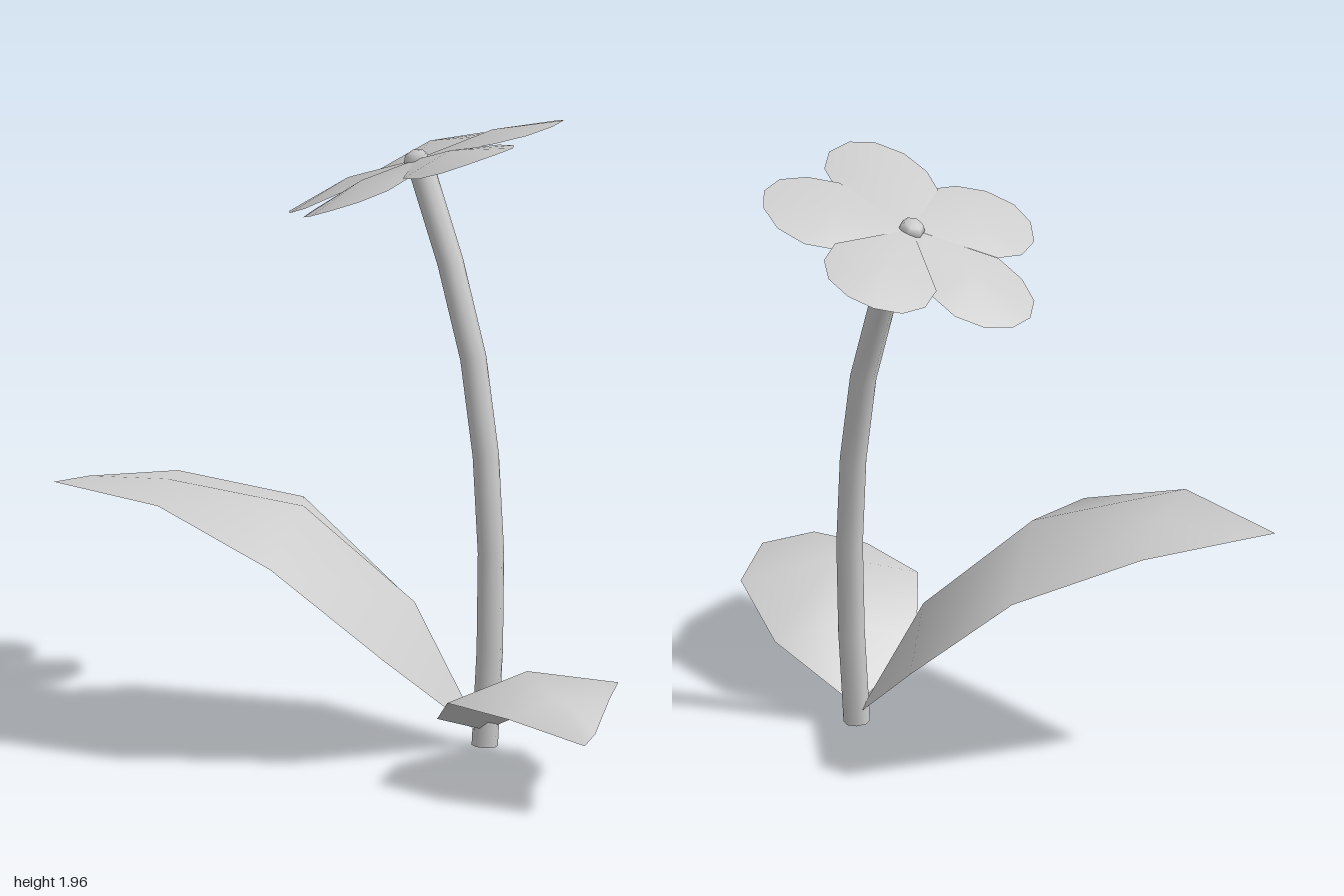
import * as THREE from 'three';

const material = new THREE.MeshStandardMaterial({ color: 0xcccccc, side: THREE.DoubleSide });

function surface(name, positions, index) {
  const geometry = new THREE.BufferGeometry();
  geometry.setAttribute('position', new THREE.Float32BufferAttribute(positions, 3));
  geometry.setIndex(index);
  geometry.computeVertexNormals();
  const mesh = new THREE.Mesh(geometry, material);
  mesh.name = name;
  return mesh;
}

// Leaf from base to a blunt tip, each rib given as [front edge, midrib, back edge]
function makeLeaf(name, base, ribs, tip, shoulder) {
  const positions = [...base, ...ribs.flat(2), ...tip, ...shoulder];
  const index = [];
  const end = 1 + ribs.length * 3;
  for (let side = 0; side < 2; side++) {
    index.push(0, 1 + side, 2 + side);
    for (let r = 0; r < ribs.length - 1; r++) {
      const a = 1 + r * 3 + side, b = a + 3;
      index.push(a, b, a + 1, a + 1, b, b + 1);
    }
    index.push(end - 3 + side, end + side, end - 2 + side);
  }
  index.push(end - 2, end, end + 1);
  return surface(name, positions, index);
}

// Petal lying along +x, drooping to its rim, fanned around a point on its centre line
function makePetal() {
  const half = [[0.235, 0.178], [0.34, 0.178], [0.43, 0.13], [0.48, 0.045]];
  const rim = [[0, 0], ...half, ...half.map(([u, v]) => [u, -v]).reverse()];
  const positions = [0.26, 0.014, 0];
  const index = [];
  rim.forEach(([u, v], i) => {
    positions.push(u, 0.08 * u - 0.28 * u * u - 0.8 * v * v, v);
    index.push(0, 1 + ((i + 1) % rim.length), 1 + i);
  });
  return surface('petal', positions, index);
}

export function createModel() {
  const model = new THREE.Group();
  model.name = 'flowerPlant';

  // Curved stem with a closed foot
  const path = new THREE.CatmullRomCurve3([
    [0.19, 0, -0.09], [0.198, 0.3, -0.105], [0.192, 0.6, -0.12], [0.155, 0.93, -0.14],
    [0.083, 1.27, -0.157], [-0.028, 1.57, -0.172], [-0.14, 1.81, -0.187],
  ].map((p) => new THREE.Vector3(...p)));
  const stem = new THREE.Mesh(new THREE.TubeGeometry(path, 6, 0.042, 8), material);
  stem.name = 'stem';
  const foot = new THREE.Mesh(new THREE.CircleGeometry(0.042, 8), material);
  foot.name = 'stemFoot';
  foot.rotation.x = Math.PI / 2;
  foot.position.set(0.19, 0.002, -0.09);
  model.add(stem, foot);

  // Arched leaves
  model.add(makeLeaf('largeLeaf', [0.18, 0.03, -0.09], [
    [[0.13, 0.36, 0.36], [-0.03, 0.45, -0.01], [-0.26, 0.36, -0.29]],
    [[-0.13, 0.66, 0.6], [-0.31, 0.76, 0.2], [-0.6, 0.67, -0.17]],
    [[-0.55, 0.81, 0.64], [-0.69, 0.83, 0.41], [-0.83, 0.79, 0.18]],
  ], [-1, 0.81, 0.6], [-0.96, 0.81, 0.47]));
  model.add(makeLeaf('smallLeaf', [0.19, 0.05, -0.09], [
    [[0.25, 0.16, 0.23], [0.38, 0.25, 0.05], [0.49, 0.2, -0.16]],
    [[0.44, 0.28, 0.42], [0.58, 0.36, 0.19], [0.75, 0.3, -0.06]],
    [[0.72, 0.28, 0.465], [0.81, 0.335, 0.32], [0.9, 0.31, 0.18]],
  ], [1, 0.23, 0.43], [0.98, 0.25, 0.35]));

  // Tilted blossom, each petal with its own direction and lift
  const blossom = new THREE.Group();
  blossom.name = 'blossom';
  blossom.position.set(-0.164, 1.835, -0.19);
  blossom.rotation.set(0.05, 0, 0.365);
  for (const [degrees, lift] of [[94, -0.05], [170, -0.03], [242, 0.06], [313, 0], [23, -0.03]]) {
    const petal = makePetal();
    petal.rotation.set(0, -THREE.MathUtils.degToRad(degrees), lift);
    blossom.add(petal);
  }
  const centre = new THREE.Mesh(new THREE.SphereGeometry(0.044, 6, 4), material);
  centre.name = 'blossomCentre';
  centre.scale.y = 0.75;
  blossom.add(centre);
  model.add(blossom);

  return model;
}
